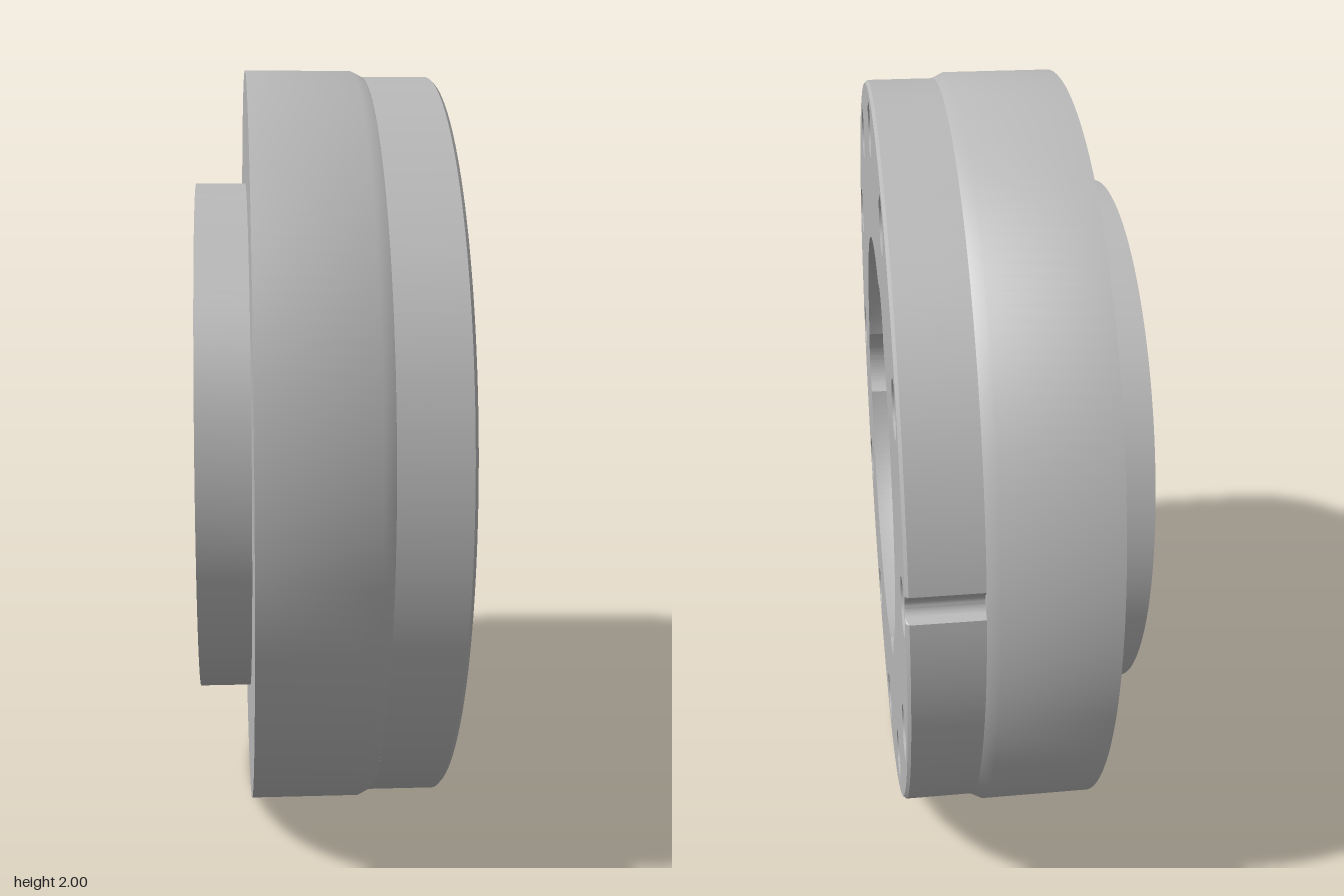
import * as THREE from 'three';
import { toCreasedNormals } from 'three/addons/utils/BufferGeometryUtils.js';

const metal = new THREE.MeshStandardMaterial({ color: 0xb8b8b8 });
metal.name = 'plain grey metal';

// Outlines are polar functions r(angle) around the wheel axis (x); angle 0 points to -z, 90 degrees points up.
const round = r => () => r;

// Round pocket with three lobes, at 60, 180 and 300 degrees
const lobed = r => a => {
  const third = Math.PI * 2 / 3;
  const d = a - Math.PI / 3 - third * Math.round((a - Math.PI / 3) / third);
  const c = 0.48, q = 0.125 ** 2 - (c * Math.sin(d)) ** 2;
  return q > 0 ? Math.max(r, c * Math.cos(d) + Math.sqrt(q)) : r;
};

// Rim with one round-bottomed slot just above the -z point
const slotted = r => a => {
  const c = 0.985, d = a - 0.05, q = 0.03 ** 2 - (c * Math.sin(d)) ** 2;
  return q > 0 && Math.cos(d) > 0 ? Math.min(r, c * Math.cos(d) - Math.sqrt(q)) : r;
};

function points(fn, n, cu = 0, cv = 0) {
  return Array.from({ length: n }, (_, i) => {
    const a = i / n * Math.PI * 2, r = fn(a);
    return new THREE.Vector2(cu + r * Math.cos(a), cv + r * Math.sin(a));
  });
}

// Skin through [x, outline] rings: rising x faces outward, falling x faces inward
function wall(rings, n = 720, cu = 0, cv = 0) {
  const pos = [], index = [];
  rings.forEach(([x, fn]) => points(fn, n, cu, cv).forEach(p => pos.push(p.x, p.y, x)));
  for (let k = 0; k < rings.length - 1; k++) {
    for (let i = 0; i < n; i++) {
      const j = (i + 1) % n, a = k * n, b = a + n;
      index.push(a + i, a + j, b + j, a + i, b + j, b + i);
    }
  }
  const g = new THREE.BufferGeometry();
  g.setAttribute('position', new THREE.Float32BufferAttribute(pos, 3));
  g.setIndex(index);
  return toCreasedNormals(g, 0.5);
}

// Flat face towards +x, with optional holes
function face(x, outline, holes = []) {
  const shape = new THREE.Shape(outline);
  holes.forEach(h => shape.holes.push(new THREE.Path(h)));
  return new THREE.ShapeGeometry(shape).translate(0, 0, x);
}

export function createModel() {
  const model = new THREE.Group();
  const wheel = new THREE.Group();
  wheel.name = 'wheel';
  wheel.rotation.y = Math.PI / 2; // the shapes' z becomes the axis x
  wheel.position.y = 1;
  model.add(wheel);
  const add = (name, geometry) => {
    const m = new THREE.Mesh(geometry, metal);
    m.name = name;
    wheel.add(m);
  };
  const back = (r, x) => new THREE.CircleGeometry(r, 180).rotateY(Math.PI).translate(0, 0, x);

  const N = 720, front = 0.31, floor = 0.22, hubFloor = 0.19, boltFloor = 0.11;

  // Body rim, its step and the slotted front rim
  add('bodyRim', wall([[-0.18, round(1)], [0.1, round(1)], [0.13, round(0.985)]], 180));
  add('frontRim', wall([[0.13, slotted(0.985)], [0.302, slotted(0.985)], [front, slotted(0.977)]]));
  add('slotEnd', new THREE.RingGeometry(0.952, 0.985, 180).translate(0, 0, 0.13));
  add('bodyBack', back(1, -0.18));

  // Boss on the back
  add('bossRim', wall([[-0.315, round(0.7)], [-0.18, round(0.7)]], 180));
  add('bossBack', back(0.7, -0.315));

  // Twelve blind bolt holes
  const boltOutlines = [];
  for (let i = 0; i < 12; i++) {
    const a = i * Math.PI / 6, u = 0.88 * Math.cos(a), v = 0.88 * Math.sin(a);
    const outline = points(round(0.07), 40, u, v);
    boltOutlines.push(outline);
    add('boltHoleWall', wall([[front, round(0.07)], [boltFloor, round(0.07)]], 40, u, v));
    add('boltHoleFloor', face(boltFloor, outline));
  }

  // Front face, opened for the pocket and the bolt holes
  add('frontFace', face(front, points(slotted(0.977), N), [points(lobed(0.567), N), ...boltOutlines]));

  // Lobed pocket with a fillet at its floor
  const fillet = 0.02, rings = [[front, lobed(0.567)]];
  for (let i = 0; i <= 4; i++) {
    const t = i / 4 * Math.PI / 2;
    rings.push([floor + fillet * (1 - Math.sin(t)), lobed(0.567 - fillet * (1 - Math.cos(t)))]);
  }
  add('pocketWall', wall(rings));
  add('pocketFloor', face(floor, points(lobed(0.567 - fillet), N), [points(round(0.255), 120)]));

  // Shallow round recess in the middle
  add('hubRecessWall', wall([[floor, round(0.255)], [hubFloor, round(0.245)]], 120));
  add('hubRecessFloor', face(hubFloor, points(round(0.245), 120)));

  return model;
}
